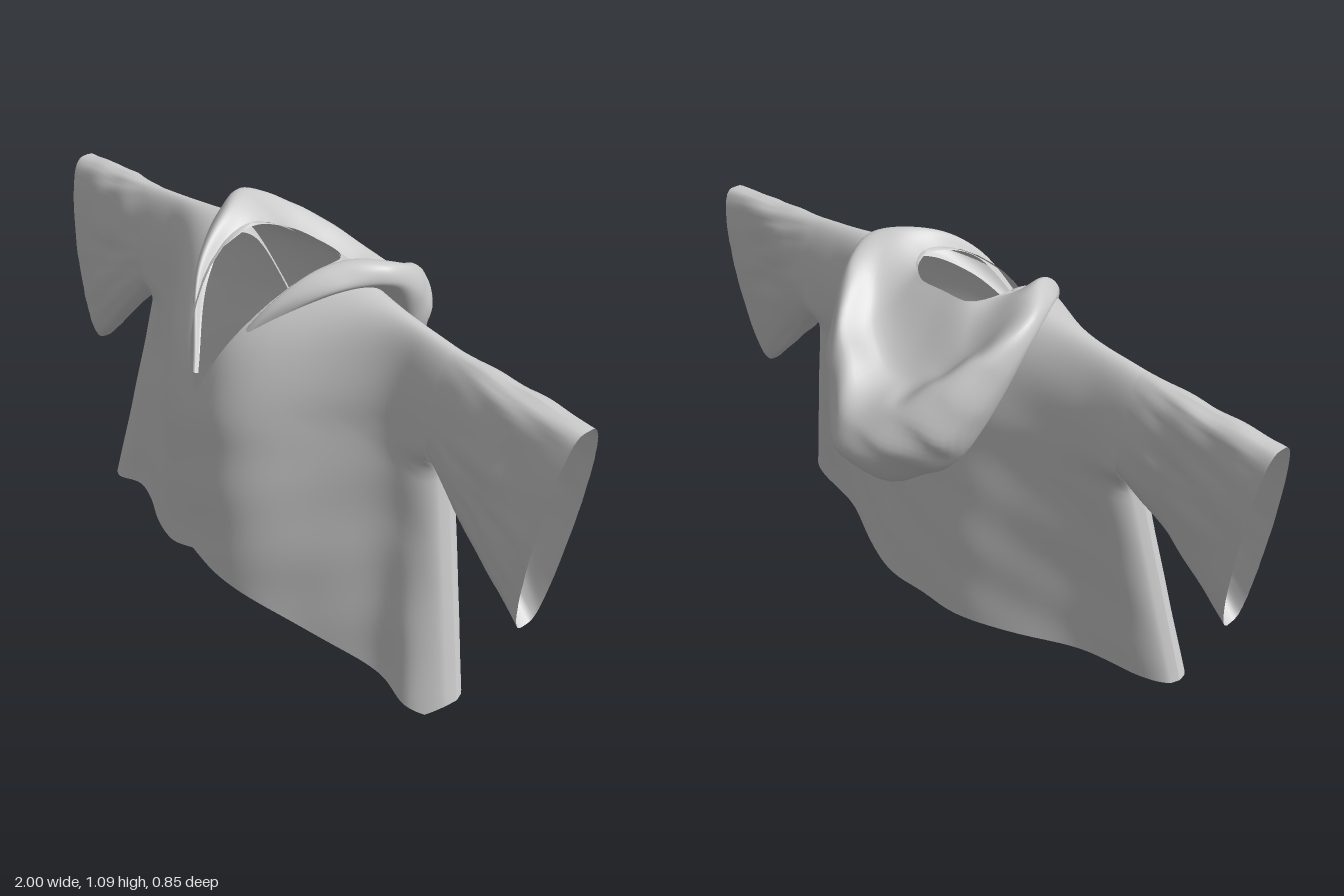
import * as THREE from 'three';

const material = new THREE.MeshStandardMaterial({ color: 0xcccccc, side: THREE.DoubleSide });
const { lerp, smoothstep, clamp } = THREE.MathUtils;

// Smooth sheet from a rule (u, v in 0..1) -> [x, y, z]
function sheet(name, nu, nv, rule, flip = false) {
  const pos = [], index = [];
  for (let j = 0; j <= nv; j++)
    for (let i = 0; i <= nu; i++) pos.push(...rule(i / nu, j / nv));
  for (let j = 0; j < nv; j++)
    for (let i = 0; i < nu; i++) {
      const a = j * (nu + 1) + i, b = a + 1, c = a + nu + 1, d = c + 1;
      if (flip) index.push(a, c, b, b, c, d);
      else index.push(a, b, c, b, d, c);
    }
  const geo = new THREE.BufferGeometry();
  geo.setAttribute('position', new THREE.Float32BufferAttribute(pos, 3));
  geo.setIndex(index);
  geo.computeVertexNormals();
  const mesh = new THREE.Mesh(geo, material);
  mesh.name = name;
  return mesh;
}

// Soft cloth wrinkles
const wrinkle = (x, y) =>
  0.5 * Math.sin(11 * x + 5 * y) * Math.sin(9 * y - 4 * x + 1) + 0.5 * Math.sin(19 * x - 13 * y + 2) * Math.sin(7 * x + 15 * y);

const ridge = x => 1.07 - 0.115 * Math.abs(x);           // shoulder line height
const halfWidth = y => lerp(0.768, 0.6, clamp(y / 0.72, 0, 1));
const midZ = y => lerp(0.135, 0.055, clamp(y / 0.75, 0, 1));
const NECK = 0.15, THICK = 0.085;

// Cloth curving in to the shoulder line, fuller at the back
function shoulderRound(y, top, dir) {
  const t = clamp((y - 0.62) / (top - 0.62), 0, 1);
  return Math.sqrt(1 - t ** (dir > 0 ? 2.2 : 3));
}

// Front hem: raised in the middle, dipping to a low corner at each side
function frontHem(x) {
  const a = Math.abs(x);
  if (a < 0.55) return lerp(0.23, 0.05, a / 0.55);
  return a < 0.72 ? lerp(0.05, 0.005, (a - 0.55) / 0.17) : lerp(0.005, 0.04, (a - 0.72) / 0.048);
}

// Front (dir 1) or back (dir -1) panel, rising from the hem to shoulder and neckline
function bodyPanel(name, dir) {
  return sheet(name, 96, 48, (s, v) => {
    const u = Math.sin((s - 0.5) * Math.PI) * 0.45 + (2 * s - 1) * 0.55;
    const xTop = Math.abs(u) * 0.6;
    const hem = dir > 0 ? frontHem(u * 0.768) : 0.05 - 0.01 * u ** 8;
    let top = ridge(xTop);
    if (xTop < NECK) top = dir > 0 ? lerp(0.72, 1.045, xTop / NECK) : lerp(1.02, 1.05, (xTop / NECK) ** 3);
    const y = lerp(hem, top, Math.sin(v * Math.PI / 2));
    const x = u * halfWidth(y);
    const round = shoulderRound(y, ridge(xTop), dir);
    const edge = lerp(Math.sqrt(Math.max(0, 1 - u ** 8)), 1, smoothstep(y, 0.66, 0.74));
    const bulge = 1 - smoothstep(Math.abs(u), 0.08, 0.84);
    const m = midZ(y);
    const reach = dir > 0 ? 0.425 - 0.045 * y - m : 0.13 + m;
    // the front corners of the hem curl forward
    const curl = dir > 0 ? 0.04 * Math.exp(-(((Math.abs(u) - 0.88) / 0.1) ** 2)) * clamp(1 - y / 0.5, 0, 1) : 0;
    const folds = (1 - u ** 8) * (0.006 * wrinkle(x, y + dir) + 0.006 * Math.sin(15 * x + dir) * (1 - y) * Math.abs(u));
    return [x, y, m + dir * round * ((THICK + curl) * edge + (reach - THICK) * bulge + folds)];
  }, dir < 0);
}

// Wide hanging sleeve: continues the armhole, deepening towards a slanted cuff
function sleeve(name, side) {
  return sheet(name, 64, 36, (a, s) => {
    const ang = a * Math.PI * 2, c = Math.cos(ang), sn = Math.sin(ang);
    const k = (c + 1) / 2;                               // 1 at the top, 0 underneath
    const topX = lerp(0.6, 1, s), lowX = lerp(0.59, 0.915, s);
    const topY = lerp(ridge(0.6), 0.975, s), lowY = lerp(0.7, 0.38, s);
    const y = lerp(lowY, topY, k);
    const dir = sn < 0 ? -1 : 1, open = smoothstep(s, 0, 0.6);
    const fold = 0.009 * wrinkle(topX * 1.6 + side, k * 1.3 + sn) * Math.sin(Math.PI * 0.9 * s);
    const armhole = THICK * shoulderRound(y, topY, dir) * Math.sqrt(1 - (1 - k) ** 8);
    const cuff = 0.075 * lerp(0.9, 1, k) * Math.abs(sn) ** 0.65;
    const z = lerp(midZ(y), lerp(0.085, 0.047, k), open) + dir * lerp(armhole, cuff, open) + fold * sn;
    return [side * lerp(lowX, topX, k), y + fold * c * 0.6, z];
  }, side < 0);
}

// Hood lying on the back: rails from mid back, past the shoulder, to the lapel end;
// in order neck edge, inner fold, rim, belly, underside, seam on the garment
const hoodRails = [
  [[0, 1.03, -.04], [.1, 1.03, -.03], [.15, 1.045, .04], [.155, 1.03, .13], [.13, .975, .235], [.02, .765, .355]],
  [[0, .86, -.21], [.16, .94, -.15], [.24, 1.085, .01], [.2, 1.08, .12], [.14, .99, .25], [.024, .77, .362]],
  [[0, .825, -.37], [.21, .955, -.24], [.31, 1.075, -.03], [.25, 1.065, .1], [.155, .98, .25], [.03, .77, .364]],
  [[0, .72, -.425], [.23, .8, -.28], [.325, 1.03, -.04], [.265, 1.04, .1], [.16, .96, .24], [.032, .765, .36]],
  [[0, .58, -.28], [.18, .66, -.21], [.31, 1, -.04], [.25, 1.02, .09], [.155, .94, .23], [.03, .76, .355]],
  [[0, .64, -.11], [.11, .71, -.1], [.24, .95, -.02], [.22, 1, .09], [.15, .93, .22], [.026, .76, .35]],
];

function hood() {
  const rails = hoodRails.map(half => {
    const left = half.map(p => new THREE.Vector3(...p));
    const right = half.slice(1).reverse().map(([x, y, z]) => new THREE.Vector3(-x, y, z));
    return new THREE.CatmullRomCurve3([...right, ...left]);
  });
  const nu = 112;
  const profiles = Array.from({ length: nu + 1 }, (_, i) =>
    new THREE.CatmullRomCurve3(rails.map(rail => rail.getPoint(i / nu))));
  return sheet('hood', nu, 40, (u, v) => {
    const p = profiles[Math.round(u * nu)].getPoint(v);
    const loose = smoothstep(-p.z, 0.02, 0.2) * Math.sin(Math.PI * v);
    const fold = 0.016 * loose * wrinkle(p.x * 1.7, p.y * 1.5 + p.z);
    return [p.x + 0.13 * Math.min(0, p.z), p.y + fold, p.z + fold];
  });
}

export function createModel() {
  const garment = new THREE.Group();
  garment.name = 'hoodedJacket';
  garment.add(
    bodyPanel('frontPanel', 1),
    bodyPanel('backPanel', -1),
    sleeve('leftSleeve', 1),
    sleeve('rightSleeve', -1),
    hood(),
  );
  return garment;
}
